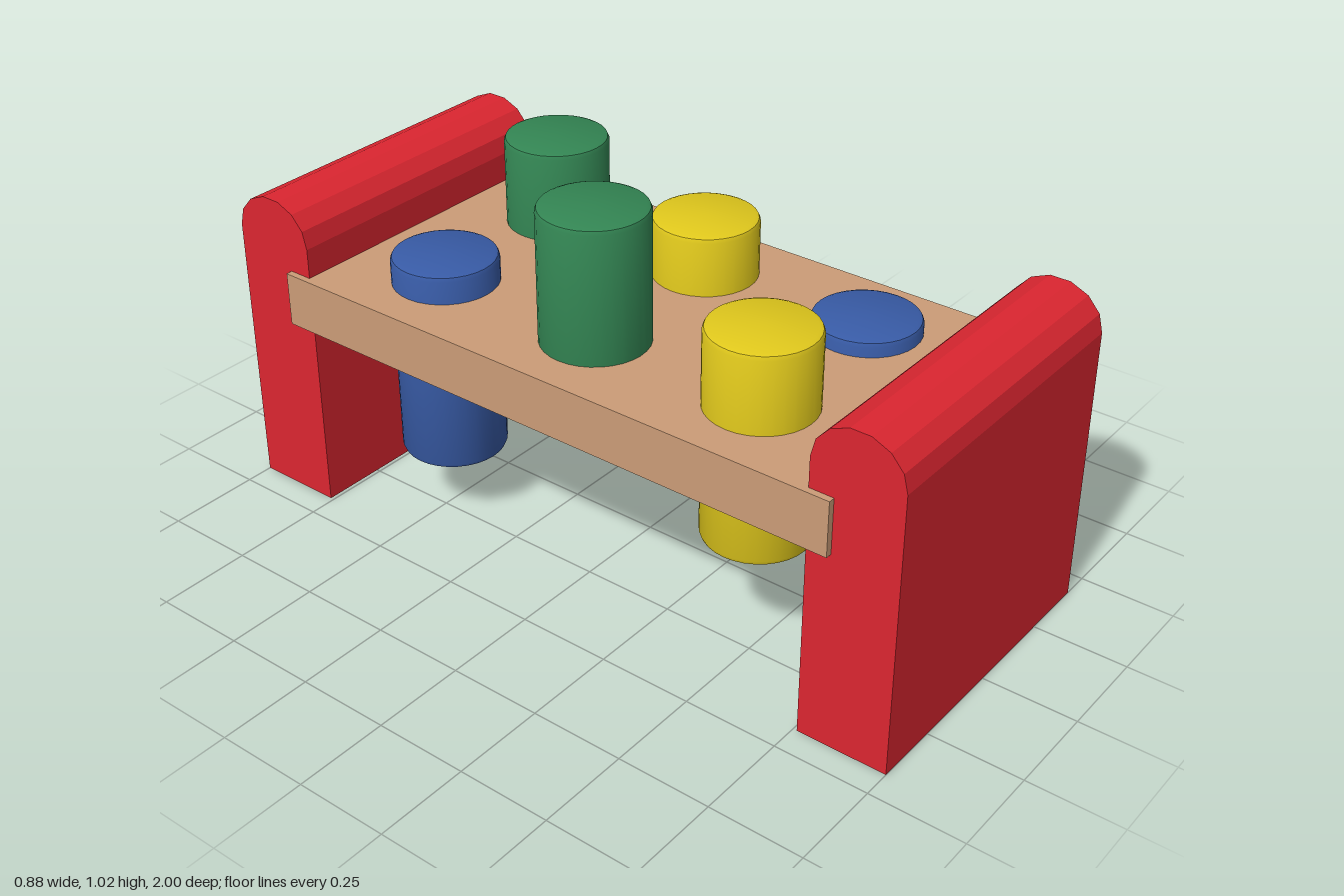
import * as THREE from 'three';
import { toCreasedNormals } from 'three/addons/utils/BufferGeometryUtils.js';

const material = (color) => new THREE.MeshStandardMaterial({ color });
const RED = material(0xdc2630), WOOD = material(0xcb9c77);
const BLUE = material(0x385ba6), GREEN = material(0x338553), YELLOW = material(0xe0c81c);

// Upright end board: rectangular section with a faceted rounded top
function endBoardGeometry(width, half, shoulder, height) {
  const s = new THREE.Shape();
  s.moveTo(-half, 0);
  s.lineTo(half, 0);
  const steps = 7;
  for (let i = 0; i <= steps; i++) {
    const a = (i / steps) * Math.PI;
    s.lineTo(half * Math.cos(a), shoulder + (height - shoulder) * Math.sin(a) / Math.sin(3 * Math.PI / 7));
  }
  s.closePath();
  const g = new THREE.ExtrudeGeometry(s, { depth: width, bevelEnabled: false });
  g.translate(0, 0, -width / 2);
  g.rotateY(Math.PI / 2); // extrusion runs along x
  return g;
}

// Round peg with slightly eased rims
function pegGeometry(radius, length, ease) {
  const h = length / 2;
  const profile = [
    [0, -h], [radius - ease, -h], [radius - ease * 0.3, -h + ease * 0.3], [radius, -h + ease],
    [radius, h - ease], [radius - ease * 0.3, h - ease * 0.3], [radius - ease, h], [0, h],
  ].map(([x, y]) => new THREE.Vector2(x, y));
  return toCreasedNormals(new THREE.LatheGeometry(profile, 32), 0.6);
}

export function createModel() {
  const group = new THREE.Group();
  const add = (name, geometry, mat, x, y, z) => {
    const mesh = new THREE.Mesh(geometry, mat);
    mesh.name = name;
    mesh.position.set(x, y, z);
    group.add(mesh);
  };

  // End boards
  const board = endBoardGeometry(0.85, 0.12, 0.75, 0.855);
  add('frontEndBoard', board, RED, 0, 0, 0.88);
  add('backEndBoard', board, RED, 0, 0, -0.88);

  // Plank held between the end boards
  add('plank', new THREE.BoxGeometry(0.885, 0.145, 1.65), WOOD, 0, 0.597, 0);

  // Equal pegs pushed through the plank to different heights
  const length = 0.56;
  const peg = pegGeometry(0.138, length, 0.014);
  const pegs = [
    ['frontRightPeg', YELLOW, -0.212, 0.875, 0.486],
    ['middleRightPeg', GREEN, -0.212, 1.025, 0],
    ['backRightPeg', BLUE, -0.212, 0.745, -0.488],
    ['frontLeftPeg', BLUE, 0.225, 0.71, 0.486],
    ['middleLeftPeg', YELLOW, 0.225, 0.83, 0],
    ['backLeftPeg', GREEN, 0.225, 0.915, -0.488],
  ];
  for (const [name, mat, x, top, z] of pegs) add(name, peg, mat, x, top - length / 2, z);

  return group;
}
